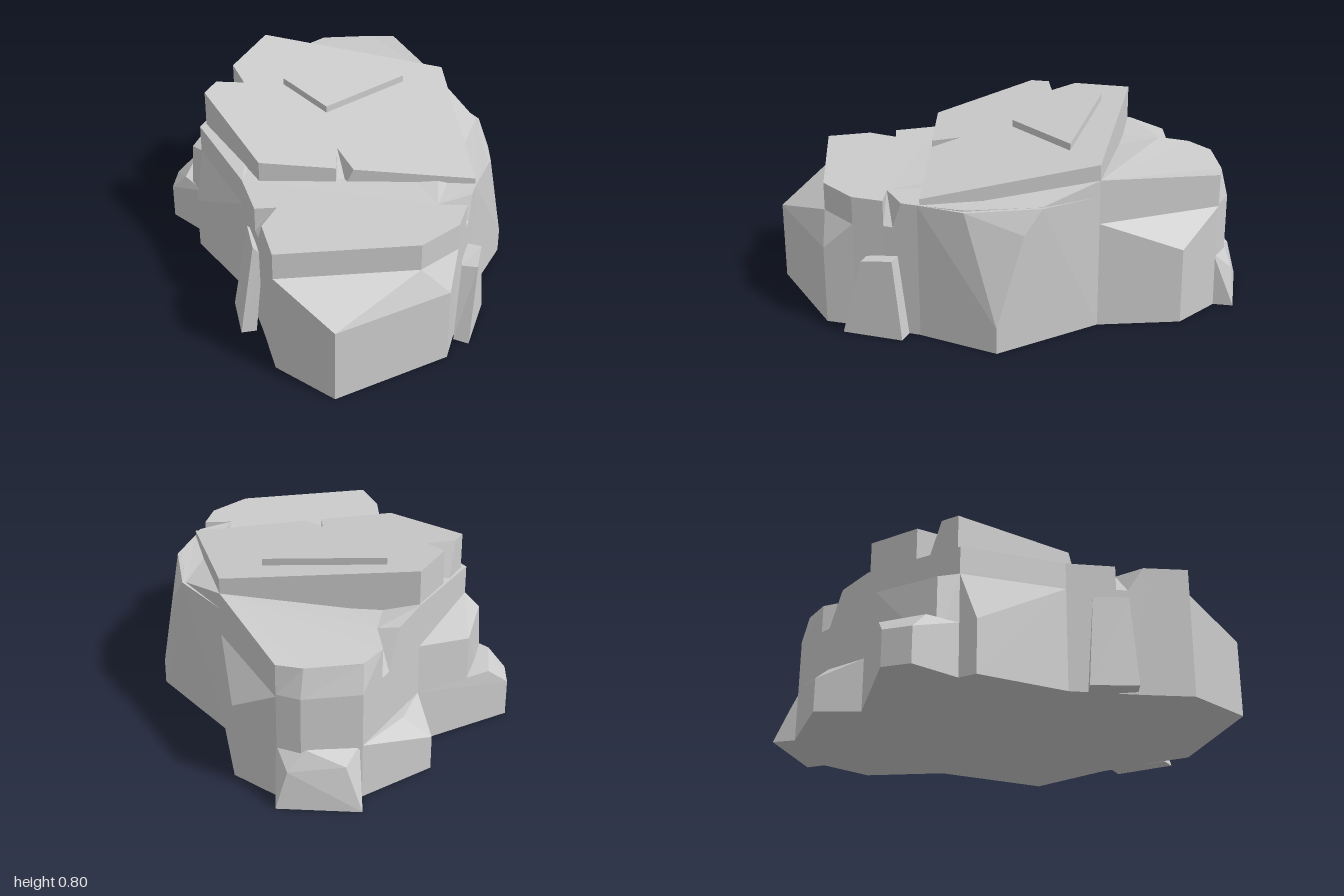
import * as THREE from 'three';
import { ConvexGeometry } from 'three/addons/geometries/ConvexGeometry.js';

const stone = new THREE.MeshStandardMaterial({ color: 0xcccccc, flatShading: true });

// Faceted solid through stacked loops of [x, y, z], counter-clockwise from above
function loft(loops) {
  const tri = [];
  const n = loops[0].length;
  for (let l = 0; l < loops.length - 1; l++) {
    const lo = loops[l], hi = loops[l + 1];
    for (let i = 0; i < n; i++) {
      const j = (i + 1) % n;
      tri.push(lo[i], lo[j], hi[j], lo[i], hi[j], hi[i]);
    }
  }
  const cap = (loop, up) => {
    const flat = loop.map(([x, , z]) => new THREE.Vector2(x, -z));
    for (const [a, b, c] of THREE.ShapeUtils.triangulateShape(flat, [])) {
      tri.push(loop[a], loop[up ? b : c], loop[up ? c : b]);
    }
  };
  cap(loops[0], false);
  cap(loops[loops.length - 1], true);
  const geo = new THREE.BufferGeometry();
  geo.setAttribute('position', new THREE.Float32BufferAttribute(tri.flat(), 3));
  geo.computeVertexNormals();
  return geo;
}

const hull = (points) => new ConvexGeometry(points.map((p) => new THREE.Vector3(...p)));

// The same [x, z] spots repeated at two heights
const upright = (y0, y1, spots) => spots.flatMap(([x, z]) => [[x, y0, z], [x, y1, z]]);

export function createModel() {
  const group = new THREE.Group();
  group.name = 'rock';
  const add = (name, geo) => {
    const mesh = new THREE.Mesh(geo, stone);
    mesh.name = name;
    group.add(mesh);
  };

  // Main mass: wall x, z, rim height, then rim x, z where it steps in (chips and bevels)
  const wall = [
    [-0.42, 0.77, 0.58], [0.16, 0.83, 0.58], [0.34, 0.73, 0.58],
    [0.406, 0.61, 0.58], [0.426, 0.575, 0.58, 0.29, 0.58], [0.446, 0.54, 0.58],
    [0.48, 0.48, 0.58], [0.58, 0.31, 0.585], [0.62, 0, 0.59], [0.53, -0.26, 0.65],
    [0.44, -0.8, 0.6], [0.36, -0.865, 0.59, 0.34, -0.84], [0.12, -0.9, 0.59, 0.11, -0.87],
    [0.01, -0.8, 0.6], [-0.03, -0.763, 0.62, -0.01, -0.67], [-0.09, -0.708, 0.63],
    [-0.22, -0.59, 0.65], [-0.58, -0.19, 0.585], [-0.46, 0.25, 0.58],
    [-0.44, 0.46, 0.58], [-0.435, 0.51, 0.58, -0.35, 0.47], [-0.43, 0.58, 0.58],
  ];
  add('mainMass', loft([
    wall.map(([x, z]) => [x, 0, z]),
    wall.map(([x, z]) => [x, 0.47, z]),
    wall.map(([x, z, y, rx = x, rz = z]) => [rx, y, rz]),
  ]));

  // Tilted cap slab with two chipped notches in its rim
  const tilt = (x, z) => 0.697 - 0.038 * x - 0.155 * z;
  const rim = [
    [-0.39, 0.27], [-0.08, 0.341], [-0.04, 0.35, -0.05, 0.22], [-0.01, 0.357],
    [0.48, 0.47], [0.53, -0.26], [-0.22, -0.58],
    [-0.4, -0.375], [-0.44, -0.33, -0.37, -0.25], [-0.49, -0.27], [-0.55, -0.2],
  ];
  add('capSlab', loft([
    rim.map(([x, z]) => [x, 0.57, z]),
    rim.map(([x, z, tx = x, tz = z]) => [tx, tilt(tx, tz), tz]),
  ]));

  // Thin flake lying on the cap
  const flake = [[-0.2, -0.22], [-0.05, -0.01], [0.33, -0.18], [-0.13, -0.43]];
  add('topFlake', loft([-0.03, 0.03].map((d) => flake.map(([x, z]) => [x, tilt(x, z) + d, z]))));

  // Front prow with a sloping shoulder
  add('frontProw', hull([
    ...upright(0, 0.34, [[-0.22, 1], [0.28, 0.85]]),
    ...upright(0, 0.46, [[-0.42, 0.77], [0.34, 0.73]]),
    [0.16, 0.46, 0.83],
  ]));

  // Bulge on the +x side, flaring at the foot
  add('sideBulge', hull([
    ...upright(0, 0.58, [[0.48, 0.48], [0.53, -0.26]]),
    ...upright(0, 0.11, [[0.7, 0.2]]),
    ...upright(0.24, 0.58, [[0.595, 0.31]]),
    ...upright(0.24, 0.49, [[0.66, 0.08]]),
    [0.635, 0.59, 0],
  ]));

  // Wedge on the +x side towards the back
  add('backSideWedge', hull([
    ...upright(0, 0.46, [[0.53, -0.26], [0.44, -0.8], [0.35, -0.5]]),
    ...upright(0, 0.33, [[0.57, -0.61]]),
  ]));

  // Low block at the foot of the back
  add('backFootBlock', hull([
    [0.15, 0, -1], [0.47, 0, -0.88], [0.42, 0, -0.75], [0.12, 0, -0.88],
    [0.2, 0.18, -0.94], [0.42, 0.16, -0.88],
    [0.44, 0.24, -0.79], [0.34, 0.24, -0.87], [0.13, 0.24, -0.89],
  ]));

  // Low ledge at the back corner
  add('backCornerLedge', hull([
    ...upright(0, 0.24, [[0.12, -0.9], [-0.22, -0.59], [0.1, -0.6]]),
    ...upright(0, 0.15, [[-0.21, -0.79]]),
    [-0.1, 0.24, -0.75],
  ]));

  // Stepped corner on the -x side: low block, middle tier, sloping shoulder
  add('lowSideStep', hull([
    ...upright(0, 0.24, [[-0.22, -0.59], [-0.58, -0.19], [-0.25, -0.2]]),
    ...upright(0, 0.16, [[-0.67, -0.49], [-0.71, -0.37]]),
    [-0.57, 0.24, -0.51], [-0.65, 0.24, -0.32],
  ]));
  add('middleSideStep', hull([
    ...upright(0.1, 0.46, [[-0.22, -0.59], [-0.25, -0.2], [-0.58, -0.19]]),
    ...upright(0.1, 0.43, [[-0.46, -0.535]]),
    [-0.63, 0.1, -0.28], [-0.61, 0.43, -0.28],
  ]));
  add('sideShoulder', hull([
    ...upright(0, 0.24, [[-0.62, -0.12]]),
    ...upright(0, 0.46, [[-0.58, -0.19], [-0.46, 0.25], [-0.35, 0]]),
  ]));

  // Splinters leaning against the two sides near the front
  add('leaningSplinterRight', loft([
    [[-0.525, 0, 0.53], [-0.46, 0, 0.53], [-0.42, 0, 0.33], [-0.525, 0, 0.33]],
    [[-0.46, 0.425, 0.51], [-0.42, 0.375, 0.51], [-0.4, 0.375, 0.36], [-0.46, 0.425, 0.36]],
  ]));
  add('leaningSplinterLeft', loft([
    [[0.335, 0, 0.75], [0.39, 0, 0.79], [0.515, 0, 0.56], [0.45, 0, 0.52]],
    [[0.375, 0.33, 0.68], [0.435, 0.335, 0.71], [0.485, 0.345, 0.59], [0.42, 0.345, 0.55]],
  ]));

  return group;
}
